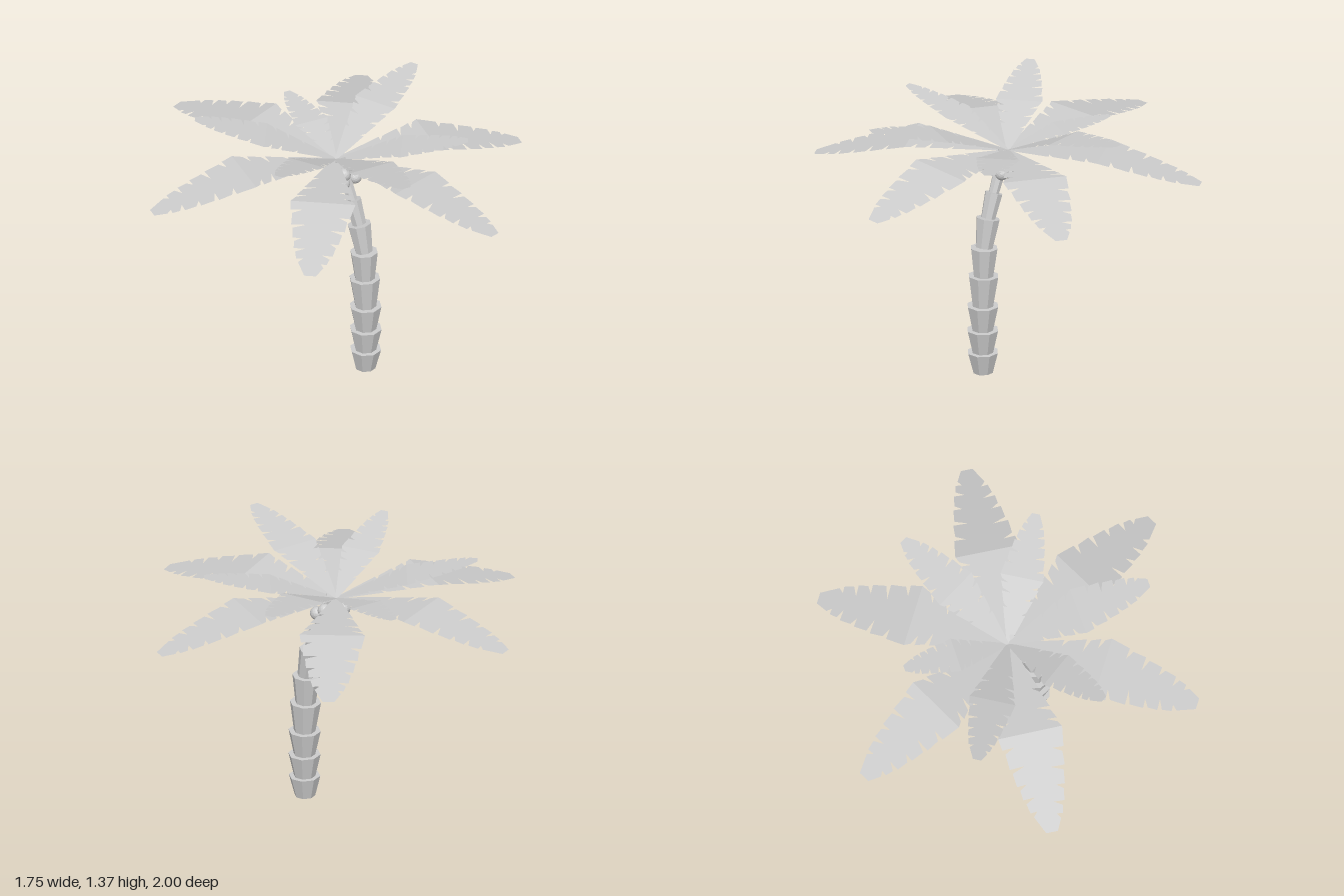
import * as THREE from 'three';
import { mergeGeometries } from 'three/addons/utils/BufferGeometryUtils.js';

const grey = new THREE.MeshStandardMaterial({ color: 0xcccccc, flatShading: true });
const leafGrey = new THREE.MeshStandardMaterial({ color: 0xcccccc, flatShading: true, side: THREE.DoubleSide });

// Half width of a unit-length leaf at t (0 root, 1 tip)
const PROFILE = [[0, 0.01], [0.1, 0.045], [0.5, 0.166], [0.7, 0.135], [0.85, 0.1], [0.93, 0.07], [1, 0.03]];
function halfWidth(t) {
  const i = Math.max(1, PROFILE.findIndex(p => p[0] >= t));
  const [a, b] = [PROFILE[i - 1], PROFILE[i]];
  return THREE.MathUtils.lerp(a[1], b[1], (t - a[0]) / (b[0] - a[0]));
}

// One edge of a leaf section, from t0 to t1, with narrow slits cut inwards
function leafEdge(t0, t1, slits, side) {
  const pts = [[t0, halfWidth(t0)]];
  slits.forEach((t, i) => {
    const depth = i % 2 ? 0.45 : 0.62;
    pts.push([t - 0.011, halfWidth(t - 0.011)]);
    pts.push([t - 0.014, halfWidth(t) * depth]);
    pts.push([t + 0.011, halfWidth(t + 0.011) * 0.95]);
  });
  pts.push([t1, halfWidth(t1)]);
  return pts.map(([t, w]) => new THREE.Vector2(t, w * side));
}

function leafSection(t0, t1, rightSlits, leftSlits) {
  const right = leafEdge(t0, t1, rightSlits, -1);
  const left = leafEdge(t0, t1, leftSlits, 1).reverse();
  return new THREE.ShapeGeometry(new THREE.Shape([...right, ...left]));
}

// Leaf with a single crosswise bend halfway, pointing at (tipX, tipZ)
const ROOT_Y = 1.145;
function makeLeaf(name, [tipX, tipZ, bendY, tipY, roll = 0]) {
  const length = Math.hypot(tipX, tipZ);
  const geo = mergeGeometries([
    leafSection(0, 0.5, [0.24, 0.35, 0.44], [0.28, 0.39, 0.46]),
    leafSection(0.5, 1, [0.57, 0.67, 0.76, 0.83, 0.9], [0.61, 0.7, 0.79, 0.87, 0.93]),
  ]);
  const pos = geo.attributes.position;
  for (let i = 0; i < pos.count; i++) {
    const t = pos.getX(i), w = pos.getY(i) * length;
    const y = t <= 0.5
      ? THREE.MathUtils.lerp(ROOT_Y, bendY, t * 2)
      : THREE.MathUtils.lerp(bendY, tipY, t * 2 - 1);
    pos.setXYZ(i, t * length, y + roll * w, -w);
  }
  geo.rotateY(Math.atan2(-tipZ, tipX));
  geo.computeVertexNormals();
  const mesh = new THREE.Mesh(geo, leafGrey);
  mesh.name = name;
  return mesh;
}

export function createModel() {
  const model = new THREE.Group();
  model.name = 'palmTree';

  // Trunk: upward-flaring octagonal segments stacked along a leaning path
  const trunk = new THREE.Group();
  trunk.name = 'trunk';
  // y, z, bottom radius of the segment above, top radius of the segment below
  const rings = [
    [0, 0.185, 0.052, 0], [0.11, 0.187, 0.055, 0.08], [0.23, 0.188, 0.055, 0.082],
    [0.36, 0.187, 0.055, 0.082], [0.52, 0.182, 0.052, 0.079], [0.67, 0.177, 0.045, 0.071],
    [0.82, 0.147, 0.037, 0.061], [0.945, 0.105, 0.027, 0.046], [1.15, 0.02, 0, 0.036],
  ];
  const up = new THREE.Vector3(0, 1, 0);
  for (let i = 0; i < rings.length - 1; i++) {
    const a = new THREE.Vector3(0, rings[i][0], rings[i][1]);
    const b = new THREE.Vector3(0, rings[i + 1][0], rings[i + 1][1]);
    const dir = b.clone().sub(a);
    const geo = new THREE.CylinderGeometry(rings[i + 1][3], rings[i][2], dir.length(), 8);
    geo.rotateY(Math.PI / 8);
    const segment = new THREE.Mesh(geo, grey);
    segment.name = 'trunkSegment';
    segment.position.copy(a).lerp(b, 0.5);
    segment.quaternion.setFromUnitVectors(up, dir.normalize());
    trunk.add(segment);
  }
  model.add(trunk);

  // Coconuts clustered under the crown
  const coconuts = new THREE.Group();
  coconuts.name = 'coconuts';
  const nutGeo = new THREE.IcosahedronGeometry(0.035, 2);
  for (const [x, y, z] of [
    [0.055, 1.09, 0.035], [0.045, 1.085, -0.03], [0.04, 1.02, 0.005],
    [0.04, 1.055, 0.09], [-0.05, 1.06, 0.085], [-0.045, 1.105, 0.085], [-0.055, 1.07, -0.01],
  ]) {
    const nut = new THREE.Mesh(nutGeo, grey);
    nut.name = 'coconut';
    nut.position.set(x, y, z);
    coconuts.add(nut);
  }
  model.add(coconuts);

  // Leaves: tip x, tip z, bend height, tip height, sideways roll
  const lower = [
    [0, 1, 1.185, 1.06, -0.08], [0, -1, 1.21, 1.105],
    [0.86, -0.49, 1.18, 1.05], [0.84, 0.52, 1.18, 1.045],
    [-0.86, 0.49, 1.18, 1.045], [-0.85, -0.51, 1.18, 1.05],
  ];
  const upper = [
    [0.71, -0.045, 1.3, 1.35], [0.24, -0.49, 1.22, 1.25], [-0.39, -0.59, 1.27, 1.35],
    [-0.6, 0.09, 1.28, 1.36], [-0.31, 0.68, 1.29, 1.365], [0.37, 0.55, 1.23, 1.275],
  ];
  const leaves = new THREE.Group();
  leaves.name = 'leaves';
  lower.forEach(l => leaves.add(makeLeaf('lowerLeaf', l)));
  upper.forEach(l => leaves.add(makeLeaf('upperLeaf', l)));
  model.add(leaves);

  return model;
}
